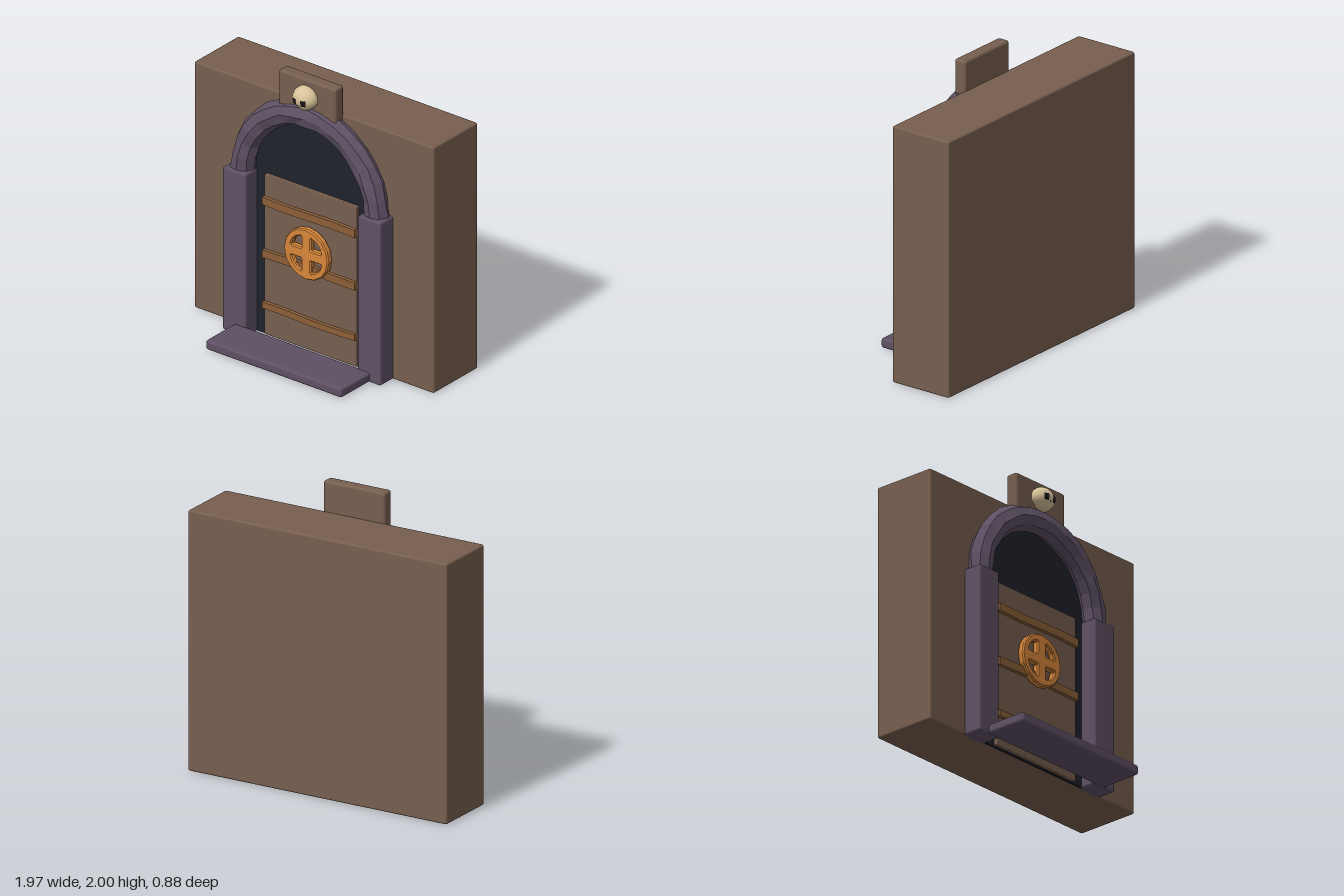
import * as THREE from 'three';
import { RoundedBoxGeometry } from 'three/addons/geometries/RoundedBoxGeometry.js';

const mat = (name, color, opts = {}) => new THREE.MeshStandardMaterial({ name, color, ...opts });

export function createModel() {
  const group = new THREE.Group();
  const brown = mat('brown wood', 0x775f4f);
  const purple = mat('purple stone', 0x5e5064);
  const facetedPurple = purple;
  const dark = mat('dark recess', 0x20222c);
  const batten = mat('batten wood', 0x8c6038);
  const orange = mat('orange metal', 0xd8873a);
  const bone = mat('bone', 0xd8c39a);
  const black = mat('eye black', 0x17151a);

  const add = (name, geometry, material) => {
    const mesh = new THREE.Mesh(geometry, material);
    mesh.name = name;
    group.add(mesh);
    return mesh;
  };
  // Box with softened edges, given by its extents
  const block = (name, x0, x1, y0, y1, z0, z1, r, material) => {
    const g = new RoundedBoxGeometry(x1 - x0, y1 - y0, z1 - z0, 2, r);
    g.translate((x0 + x1) / 2, (y0 + y1) / 2, (z0 + z1) / 2);
    return add(name, g, material);
  };
  // Faceted normals on any geometry
  const faceted = (g) => {
    const flat = g.index ? g.toNonIndexed() : g;
    flat.computeVertexNormals();
    return flat;
  };

  // Wall and the plaque above the arch
  block('wall', -0.985, 0.985, 0.005, 1.79, -0.44, 0.02, 0.014, brown);
  block('plaque', -0.235, 0.235, 1.72, 2, 0.005, 0.093, 0.018, brown);

  // Dark arched recess behind the door
  const springY = 1.18;
  const recess = new THREE.Shape();
  recess.moveTo(-0.5, 0.01);
  recess.lineTo(0.5, 0.01);
  recess.lineTo(0.5, springY);
  recess.absarc(0, springY, 0.5, 0, Math.PI, false);
  recess.closePath();
  add('recess', new THREE.ExtrudeGeometry(recess, { depth: 0.012, bevelEnabled: false }).translate(0, 0, 0.018), dark);

  // Stone jambs, a little wider at the foot on the inside
  for (const s of [-1, 1]) {
    const a = s * 0.46, b = s * 0.65;
    block(s > 0 ? 'leftJamb' : 'rightJamb', Math.min(a, b), Math.max(a, b), 0.005, 1.185, 0, 0.15, 0.014, purple);
  }

  // Rough stone arch
  const arch = new THREE.TorusGeometry(0.548, 0.088, 8, 16, Math.PI);
  const p = arch.attributes.position;
  for (let i = 0; i < p.count; i++) {
    const x = p.getX(i), y = p.getY(i), z = p.getZ(i);
    const k = 1 + 0.011 * Math.sin(x * 23 + z * 31) * Math.cos(y * 19);
    p.setXYZ(i, x * k, y * k, z * 0.9 + 0.006 * Math.sin(x * 17 + y * 29));
  }
  arch.translate(0, springY, 0.056);
  add('arch', faceted(arch), facetedPurple);

  // Doorstep
  block('doorstep', -0.56, 0.56, 0.005, 0.075, 0.13, 0.443, 0.02, purple);

  // Door with three slightly crooked battens
  block('door', -0.38, 0.38, 0.02, 1.18, 0.02, 0.055, 0.006, brown);
  [[0.995, 0.055], [0.617, 0.055], [0.238, 0.045]].forEach(([y, h], i) => {
    const g = new THREE.BoxGeometry(0.76, h, 0.03, 4, 1, 1);
    const q = g.attributes.position;
    for (let j = 0; j < q.count; j++) q.setY(j, q.getY(j) + 0.005 * Math.sin(q.getX(j) * 9 + i * 2));
    g.translate(0, y, 0.065);
    add('batten', faceted(g), batten);
  });

  // Round door wheel with four rounded quarter openings
  const wheel = new THREE.Shape();
  wheel.absarc(0, 0, 0.175, 0, Math.PI * 2, false);
  for (let i = 0; i < 4; i++) {
    const turn = i * Math.PI / 2;
    const points = [[0.03, 0.04], [0.04, 0.03], [0.125, 0.03], [0.132, 0.045], [0.115, 0.085],
      [0.085, 0.115], [0.045, 0.132], [0.03, 0.125]];
    wheel.holes.push(new THREE.Path(points.map(([x, y]) =>
      new THREE.Vector2(x, y).rotateAround(new THREE.Vector2(), turn))));
  }
  const wheelGeo = new THREE.ExtrudeGeometry(wheel, {
    depth: 0.03, bevelEnabled: true, bevelSize: 0.008, bevelThickness: 0.01, bevelSegments: 1, curveSegments: 8,
  });
  add('doorWheel', wheelGeo.translate(0, 0.735, 0.065), orange);

  // Skull ornament: a ball narrowed towards the jaw, with eye patches following its surface
  const skullShape = (g) => {
    const q = g.attributes.position;
    for (let i = 0; i < q.count; i++) {
      const y = q.getY(i);
      const k = y < -0.02 ? 1 - (-0.02 - y) * 4 : 1;
      q.setXYZ(i, q.getX(i) * k, y * 0.92, q.getZ(i) * 0.85 * (y < 0 ? 1 + y * 2 : 1));
    }
    g.translate(0, 1.872, 0.105);
    g.computeVertexNormals();
    return g;
  };
  add('skull', skullShape(new THREE.SphereGeometry(0.093, 20, 14)), bone);
  for (const s of [-1, 1]) {
    const eye = new THREE.SphereGeometry(0.097, 4, 4, Math.PI / 2 + s * 0.38 - 0.19, 0.38, 1.38, 0.5);
    add('eyeSocket', skullShape(eye), black);
  }
  add('nose', skullShape(new THREE.SphereGeometry(0.096, 2, 2, Math.PI / 2 - 0.05, 0.1, 1.85, 0.13)), black);
  return group;
}
